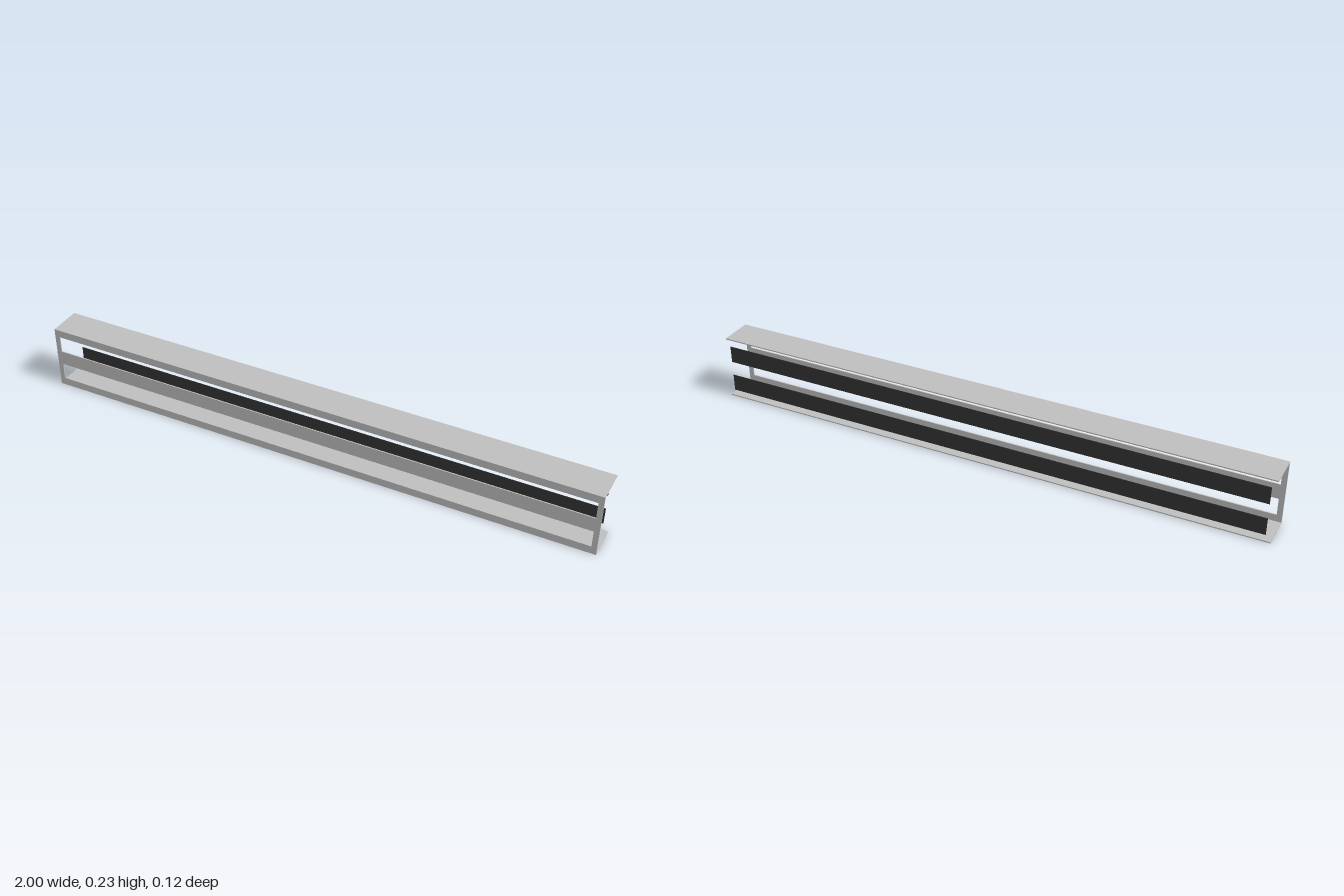
import * as THREE from 'three';

export function createModel() {
  const group = new THREE.Group();
  const metal = new THREE.MeshStandardMaterial({ name: 'light grey metal', color: 0xbebebe });
  const dark = new THREE.MeshStandardMaterial({ name: 'dark panel', color: 0x333333 });

  const height = 0.231, front = 0.0605, back = -0.0585, sheet = 0.004;
  const slotHalf = 0.982, slots = [[0.028, 0.089], [0.142, 0.203]];

  const add = (name, geometry, material, x, y, z) => {
    const mesh = new THREE.Mesh(geometry, material);
    mesh.name = name;
    mesh.position.set(x, y, z);
    group.add(mesh);
  };

  // front plate with two long slots
  const plate = new THREE.Shape();
  plate.moveTo(-1, 0).lineTo(1, 0).lineTo(1, height).lineTo(-1, height).closePath();
  for (const [low, high] of slots) {
    const hole = new THREE.Path();
    hole.moveTo(-slotHalf, low).lineTo(-slotHalf, high).lineTo(slotHalf, high).lineTo(slotHalf, low).closePath();
    plate.holes.push(hole);
  }
  add('frontPlate', new THREE.ExtrudeGeometry(plate, { depth: sheet, bevelEnabled: false }), metal, 0, 0, front - sheet);

  // top and bottom flanges running back from the plate
  const depth = front - sheet - back;
  for (const [name, y] of [['bottomFlange', sheet / 2], ['topFlange', height - sheet / 2]])
    add(name, new THREE.BoxGeometry(2, sheet, depth), metal, 0, y, back + depth / 2);

  // thin dark panels behind the slots
  slots.forEach(([low, high], i) =>
    add(i ? 'upperBackPanel' : 'lowerBackPanel', new THREE.BoxGeometry(2 * slotHalf, high - low, 0.002),
      dark, 0, (low + high) / 2, back - 0.001));

  return group;
}
